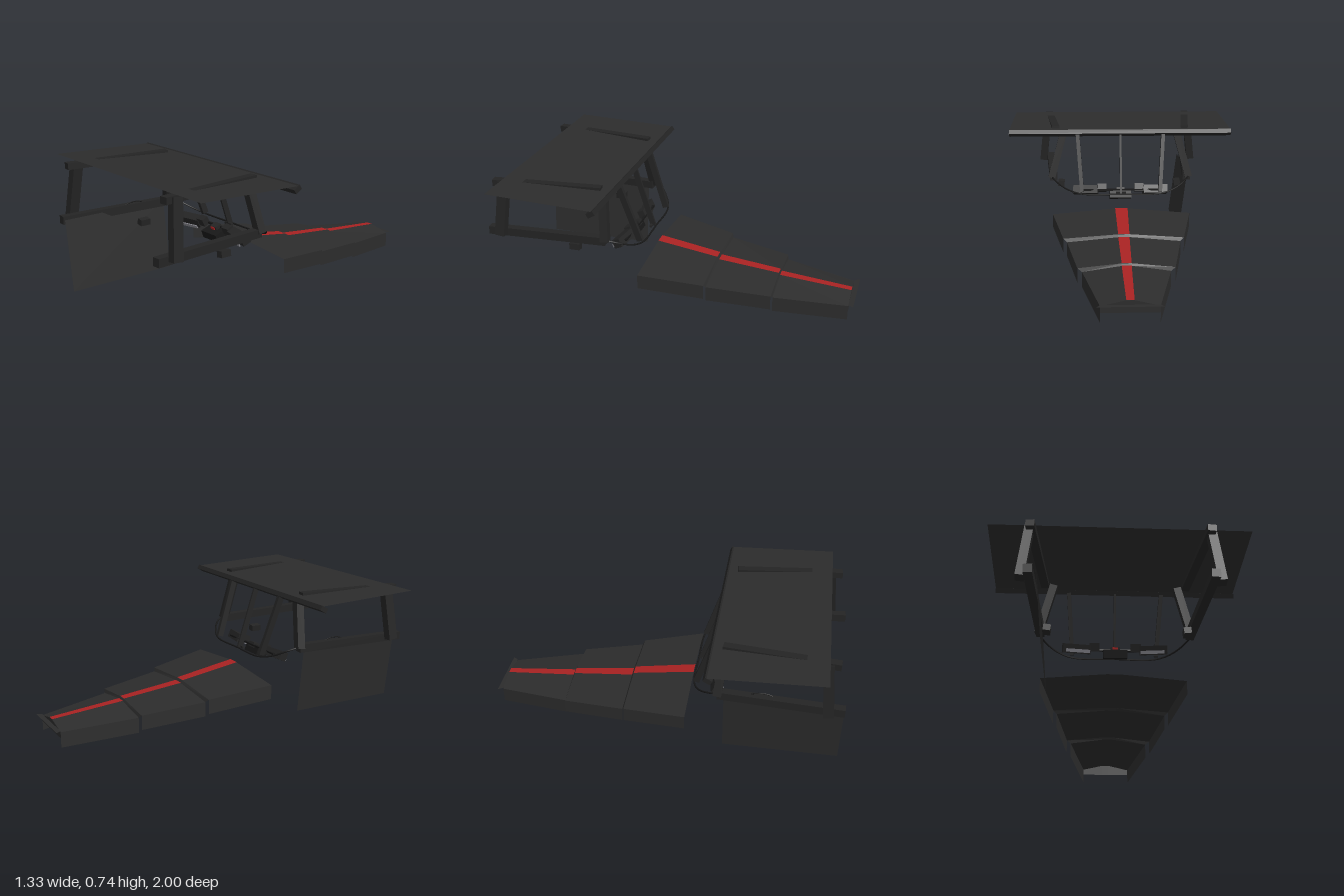
import * as THREE from 'three';

const std = (name, color, side = THREE.FrontSide) => {
  const m = new THREE.MeshStandardMaterial({ color, side });
  m.name = name;
  return m;
};

export function createModel() {
  const model = new THREE.Group();
  model.name = 'vehicleCabParts';
  const panel = std('charcoalPanel', 0x2c2c2c, THREE.DoubleSide);
  const frame = std('darkFrame', 0x242424);
  const black = std('blackTrim', 0x181818);
  const red = std('redStripe', 0xa82222);
  const grey = std('greyScreen', 0x85858c);

  const add = (name, geometry, material) => {
    const mesh = new THREE.Mesh(geometry, material);
    mesh.name = name;
    model.add(mesh);
    return mesh;
  };

  // Straight rectangular bar between two points
  const bar = (name, a, b, w, h, material = frame) => {
    const p = new THREE.Vector3(...a), q = new THREE.Vector3(...b);
    const mesh = add(name, new THREE.BoxGeometry(w, h, p.distanceTo(q)), material);
    if (Math.abs(p.y - q.y) > 0.1) mesh.up.set(0, 0, 1);
    mesh.position.copy(p).add(q).multiplyScalar(0.5);
    mesh.lookAt(q);
    return mesh;
  };

  const block = (name, size, pos, rot = [0, 0, 0], material = frame) => {
    const mesh = add(name, new THREE.BoxGeometry(...size), material);
    mesh.position.set(...pos);
    mesh.rotation.set(...rot);
    return mesh;
  };

  // Open sheet between two polylines of equal length
  const sheet = (name, a, b, material = panel) => {
    const pos = [];
    for (let i = 0; i < a.length - 1; i++) {
      pos.push(...a[i], ...a[i + 1], ...b[i + 1], ...a[i], ...b[i + 1], ...b[i]);
    }
    const g = new THREE.BufferGeometry();
    g.setAttribute('position', new THREE.Float32BufferAttribute(pos, 3));
    g.computeVertexNormals();
    return add(name, g, material);
  };

  const tube = (name, points, r, material = black) => add(name, new THREE.TubeGeometry(
    new THREE.CatmullRomCurve3(points.map(p => new THREE.Vector3(...p))), 32, r, 6), material);

  // Hood: three lapped sections with hanging skirts, [z, halfWidth, ridge, shoulder, skirtBottom]
  const sections = [
    [[0.155, 0.407, 0.267, 0.235, 0.155], [-0.2, 0.337, 0.212, 0.19, 0.108]],
    [[-0.21, 0.317, 0.198, 0.172, 0.09], [-0.56, 0.256, 0.162, 0.138, 0.057]],
    [[-0.567, 0.232, 0.15, 0.12, 0.035], [-0.972, 0.145, 0.115, 0.086, 0]],
  ];
  const stripeHalf = z => 0.02 + 0.017 * (z + 0.97) / 1.125;
  const topEdge = ([z, x, ridge, side]) => {
    const s = stripeHalf(z);
    return [[-x, side, z], [-s, ridge, z], [s, ridge, z], [x, side, z]];
  };
  const fullEdge = st => [[-st[1], st[4], st[0]], ...topEdge(st), [st[1], st[4], st[0]]];
  sections.forEach(([front, rear], i) => {
    sheet('hoodSection' + (i + 1), fullEdge(front), fullEdge(rear));
    const ridge = st => topEdge(st).slice(1, 3).map(([x, y, z]) => [x, y + 0.002, z]);
    sheet('hoodStripe' + (i + 1), ridge(front), ridge(rear), red);
    if (i < 2) sheet('hoodLap' + (i + 1), topEdge(rear), topEdge(sections[i + 1][0]));
  });

  // Tail end wall and flared lip
  const tail = sections[2][1];
  sheet('tailWall', topEdge(tail), topEdge(tail).map(([x, , z]) => [x, 0.052, z]));
  sheet('tailLip', [[-0.145, 0.092, -0.972], [0.145, 0.092, -0.972]],
    [[-0.163, 0.092, -1], [0.163, 0.092, -1]]);

  // Roof sheet and slanted header bar
  sheet('roofPanel', [[-0.665, 0.715, 0.29], [0.665, 0.715, 0.29]],
    [[-0.665, 0.736, 0.892], [0.665, 0.736, 0.892]]);
  block('roofHeader', [1.33, 0.026, 0.043], [0, 0.698, 0.302], [0.53, 0, 0]);

  for (const s of [-1, 1]) {
    const side = s > 0 ? 'left' : 'right';

    // Side frame: roof rail, sill rail and two pillars
    bar(side + 'RoofRail', [s * 0.388, 0.714, 0.35], [s * 0.452, 0.714, 0.95], 0.045, 0.036);
    bar(side + 'SillRail', [s * 0.405, 0.423, 0.33], [s * 0.45, 0.423, 1], 0.045, 0.045);
    bar(side + 'FrontPillar', [s * 0.457, 0.722, 0.885], [s * 0.492, 0.418, 0.915], 0.046, 0.055);
    bar(side + 'RearPillar', [s * 0.34, 0.7, 0.362], [s * 0.417, 0.42, 0.33], 0.042, 0.046);

    // Window post
    bar(side + 'WindowPost', [s * 0.257, 0.69, 0.305], [s * 0.233, 0.36, 0.195], 0.022, 0.035);

    // Small side box
    block(side + 'SideBox', [0.04, 0.035, 0.06], [s * 0.365, 0.342, 0.53], [0, 0, s * 0.12]);

    // Dashboard screens and switch boxes
    block(side + 'Display', [0.15, 0.05, 0.05], [s * 0.21, 0.346, 0.305], [0.45, -s * 0.15, s * 0.05]);
    block(side + 'DisplayScreen', [0.13, 0.018, 0.006], [s * 0.2, 0.32, 0.335], [0.45, -s * 0.15, s * 0.05], grey);
    block(side + 'SwitchBox', [0.055, 0.045, 0.04], [s * 0.112, 0.36, 0.3], [0.45, 0, 0]);
  }

  // Centre post with its foot
  bar('centrePost', [0, 0.69, 0.305], [0, 0.345, 0.195], 0.012, 0.032);
  block('centrePostFoot', [0.06, 0.012, 0.014], [0, 0.35, 0.205]);

  // Curved lower window rim
  tube('windowRim', [[-0.425, 0.435, 0.34], [-0.39, 0.41, 0.27], [-0.32, 0.372, 0.215], [-0.23, 0.35, 0.183],
    [0, 0.348, 0.18], [0.23, 0.35, 0.183], [0.32, 0.372, 0.215], [0.39, 0.41, 0.27], [0.425, 0.435, 0.34]], 0.005);

  // Central console
  block('console', [0.13, 0.045, 0.07], [0, 0.314, 0.31], [0.35, 0, 0], black);
  block('consoleTop', [0.05, 0.03, 0.04], [0, 0.348, 0.295], [0.35, 0, 0]);
  block('consoleButton', [0.03, 0.014, 0.006], [0, 0.345, 0.319], [0.35, 0, 0], red);
  bar('dashBar', [-0.24, 0.352, 0.28], [0.24, 0.352, 0.28], 0.014, 0.01, black);

  // Single door leaning inwards at the bottom, with a thin grab loop
  sheet('door', [[-0.412, 0.43, 0.364], [-0.412, 0.43, 1]], [[-0.362, 0.035, 0.364], [-0.362, 0.035, 1]]);
  tube('grabLoop', [[-0.41, 0.435, 0.64], [-0.41, 0.452, 0.6], [-0.41, 0.456, 0.565],
    [-0.41, 0.452, 0.53], [-0.41, 0.435, 0.49]], 0.003);

  return model;
}
